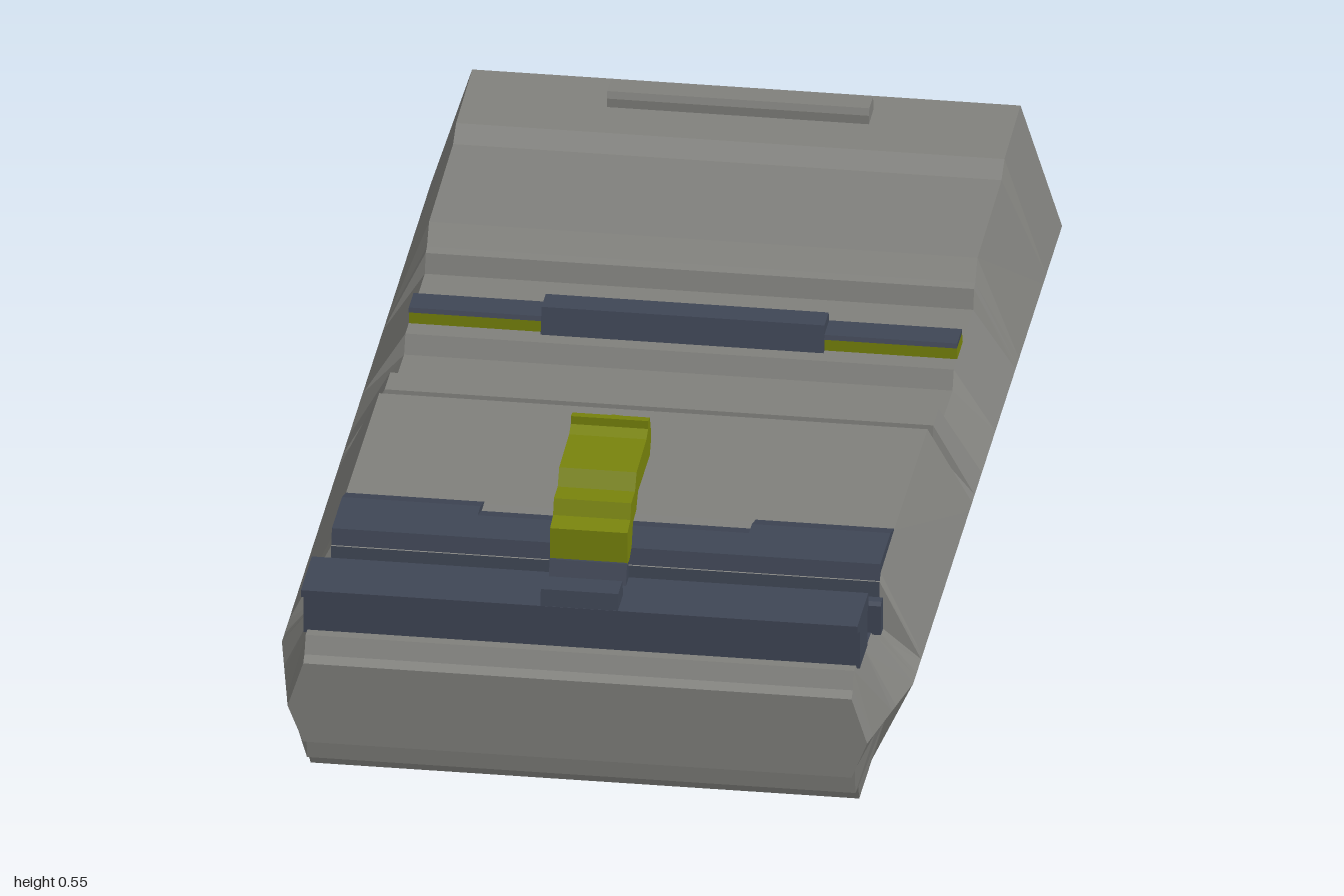
import * as THREE from 'three';

const material = (name, color) => {
  const m = new THREE.MeshStandardMaterial({ color, side: THREE.DoubleSide, flatShading: true });
  m.name = name;
  return m;
};

// Profiles run front to back as [z, y]
const TOP = [
  [1, 0.24], [0.985, 0.25], [0.97, 0.28], [0.87, 0.28], [0.85, 0.257], [0.76, 0.253], [0.735, 0.25],
  [0.72, 0.225], [0.675, 0.22], [0.668, 0.3], [0.655, 0.312], [0.5, 0.315], [0.1, 0.31],
  [0.065, 0.245], [0.04, 0.245], [0.035, 0.285], [-0.03, 0.285], [-0.05, 0.24], [-0.195, 0.237],
  [-0.21, 0.27], [-0.44, 0.27], [-0.45, 0.305], [-0.465, 0.31], [-0.49, 0.345], [-0.775, 0.352],
  [-0.81, 0.375], [-1, 0.383],
];
const BOTTOM = [
  [1, 0.09], [0.96, 0.085], [0.955, 0.038], [0.92, 0.032], [0.91, 0.005], [0.76, 0.005],
  [0.56, 0.005], [0.49, 0.03], [-0.78, 0.03], [-0.86, 0.005], [-1, 0.005],
];
const HALF = 0.475, MID_Y = 0.157;
const midX = (z) => (z <= 0.76 ? 0.547 : 0.547 - ((z - 0.76) / 0.24) * 0.045);

// Mesh made of four-cornered faces
function quadMesh(name, quads, mat) {
  const pos = [];
  for (const [a, b, c, d] of quads) pos.push(...a, ...b, ...c, ...a, ...c, ...d);
  const geo = new THREE.BufferGeometry();
  geo.setAttribute('position', new THREE.Float32BufferAttribute(pos, 3));
  geo.computeVertexNormals();
  const mesh = new THREE.Mesh(geo, mat);
  mesh.name = name;
  return mesh;
}

// Bar with a [z, y] profile, running between x0 and x1
function bar(name, profile, x0, x1, mat) {
  const shape = new THREE.Shape(profile.map(([z, y]) => new THREE.Vector2(z, y)));
  const geo = new THREE.ExtrudeGeometry(shape, { depth: x1 - x0, bevelEnabled: false });
  geo.rotateY(-Math.PI / 2).translate(x1, 0, 0);
  const mesh = new THREE.Mesh(geo, mat);
  mesh.name = name;
  return mesh;
}

export function createModel() {
  const gray = material('warm gray', 0x80807c);
  const blue = material('slate blue', 0x3f4655);
  const olive = material('olive yellow', 0x78830c);
  const model = new THREE.Group();
  model.name = 'model';

  // Hull skin: deck, underside and two angled side faces, open at the back
  const deck = [], inlay = [], under = [], sides = [];
  for (let i = 0; i < TOP.length - 1; i++) {
    const [z0, y0] = TOP[i], [z1, y1] = TOP[i + 1];
    const target = z0 <= 0.87 && z1 >= 0.66 ? inlay : deck;
    target.push([[-HALF, y0, z0], [HALF, y0, z0], [HALF, y1, z1], [-HALF, y1, z1]]);
    sides.push([[HALF, y0, z0], [midX(z0), MID_Y, z0], [midX(z1), MID_Y, z1], [HALF, y1, z1]]);
    sides.push([[-HALF, y1, z1], [-midX(z1), MID_Y, z1], [-midX(z0), MID_Y, z0], [-HALF, y0, z0]]);
  }
  for (let i = 0; i < BOTTOM.length - 1; i++) {
    const [z0, y0] = BOTTOM[i], [z1, y1] = BOTTOM[i + 1];
    under.push([[-HALF, y1, z1], [HALF, y1, z1], [HALF, y0, z0], [-HALF, y0, z0]]);
    sides.push([[midX(z0), MID_Y, z0], [HALF, y0, z0], [HALF, y1, z1], [midX(z1), MID_Y, z1]]);
    sides.push([[-midX(z1), MID_Y, z1], [-HALF, y1, z1], [-HALF, y0, z0], [-midX(z0), MID_Y, z0]]);
  }
  const m = midX(1);
  const front = [
    [[-HALF, 0.09, 1], [HALF, 0.09, 1], [m, MID_Y, 1], [-m, MID_Y, 1]],
    [[-m, MID_Y, 1], [m, MID_Y, 1], [HALF, 0.24, 1], [-HALF, 0.24, 1]],
  ];
  model.add(
    quadMesh('deck', deck, gray), quadMesh('frontDeckInlay', inlay, blue),
    quadMesh('underside', under, gray), quadMesh('sideWalls', sides, gray),
    quadMesh('frontPanel', front, gray),
  );

  // Flanged front rail with the raised holder for the latch
  model.add(bar('frontRail', [
    [0.95, 0.275], [0.95, 0.345], [0.98, 0.357], [0.98, 0.37], [0.85, 0.37], [0.85, 0.345],
    [0.86, 0.335], [0.86, 0.275],
  ], -0.482, 0.482, blue));
  model.add(bar('latchHolderFront', [[0.98, 0.365], [0.975, 0.4], [0.925, 0.4], [0.915, 0.365]], -0.067, 0.067, blue));
  model.add(bar('latchHolderBack', [[0.885, 0.365], [0.87, 0.405], [0.85, 0.405], [0.85, 0.365]], -0.067, 0.067, blue));

  // Curved latch, pinched to a point at its tip
  const latch = bar('latch', [
    [0.865, 0.4], [0.865, 0.462], [0.83, 0.47], [0.82, 0.497], [0.775, 0.497], [0.757, 0.525],
    [0.64, 0.53], [0.62, 0.54], [0.62, 0.555], [0.6, 0.552], [0.59, 0.53], [0.545, 0.525],
    [0.545, 0.51], [0.585, 0.505], [0.6, 0.48], [0.74, 0.48], [0.76, 0.455], [0.8, 0.45],
    [0.815, 0.412], [0.84, 0.4],
  ], -0.067, 0.067, olive);
  const p = latch.geometry.attributes.position;
  for (let i = 0; i < p.count; i++) if (p.getZ(i) < 0.56) p.setX(i, p.getX(i) * 0.08);
  latch.geometry.computeVertexNormals();
  model.add(latch);

  // Narrow ridge in the front channel
  model.add(bar('channelRidge', [
    [0.77, 0.25], [0.77, 0.305], [0.762, 0.31], [0.745, 0.31], [0.742, 0.25],
  ], -0.492, 0.492, blue));

  // Raised front pad with a shorter centre
  const pad = (back) => [[0.667, 0.3], [0.66, 0.33], [back + 0.045, 0.33], [back, 0.316], [back, 0.3]];
  model.add(bar('padCentre', pad(0.53), -0.235, 0.235, blue));
  for (const s of [-1, 1]) {
    const [a, b] = [s * 0.235, s * HALF].sort((u, v) => u - v);
    model.add(bar('padEnd', pad(0.495), a, b, blue));
  }

  // Crossbar: full height centre, coloured ends under thin caps
  model.add(bar('crossbarCentre', [
    [-0.238, 0.265], [-0.25, 0.318], [-0.3, 0.318], [-0.312, 0.285], [-0.316, 0.265],
  ], -0.245, 0.245, blue));
  for (const s of [-1, 1]) {
    const [a, b] = [s * 0.245, s * HALF].sort((u, v) => u - v);
    model.add(bar('crossbarEnd', [[-0.25, 0.265], [-0.25, 0.292], [-0.308, 0.292], [-0.318, 0.265]], a, b, olive));
    model.add(bar('crossbarEndCap', [[-0.247, 0.292], [-0.25, 0.3], [-0.306, 0.3], [-0.308, 0.292]], a, b, blue));
  }

  // Low bar on the rear deck
  model.add(bar('rearBar', [[-0.9, 0.37], [-0.9, 0.395], [-0.905, 0.407], [-0.95, 0.407], [-0.955, 0.37]], -0.227, 0.227, gray));
  return model;
}
